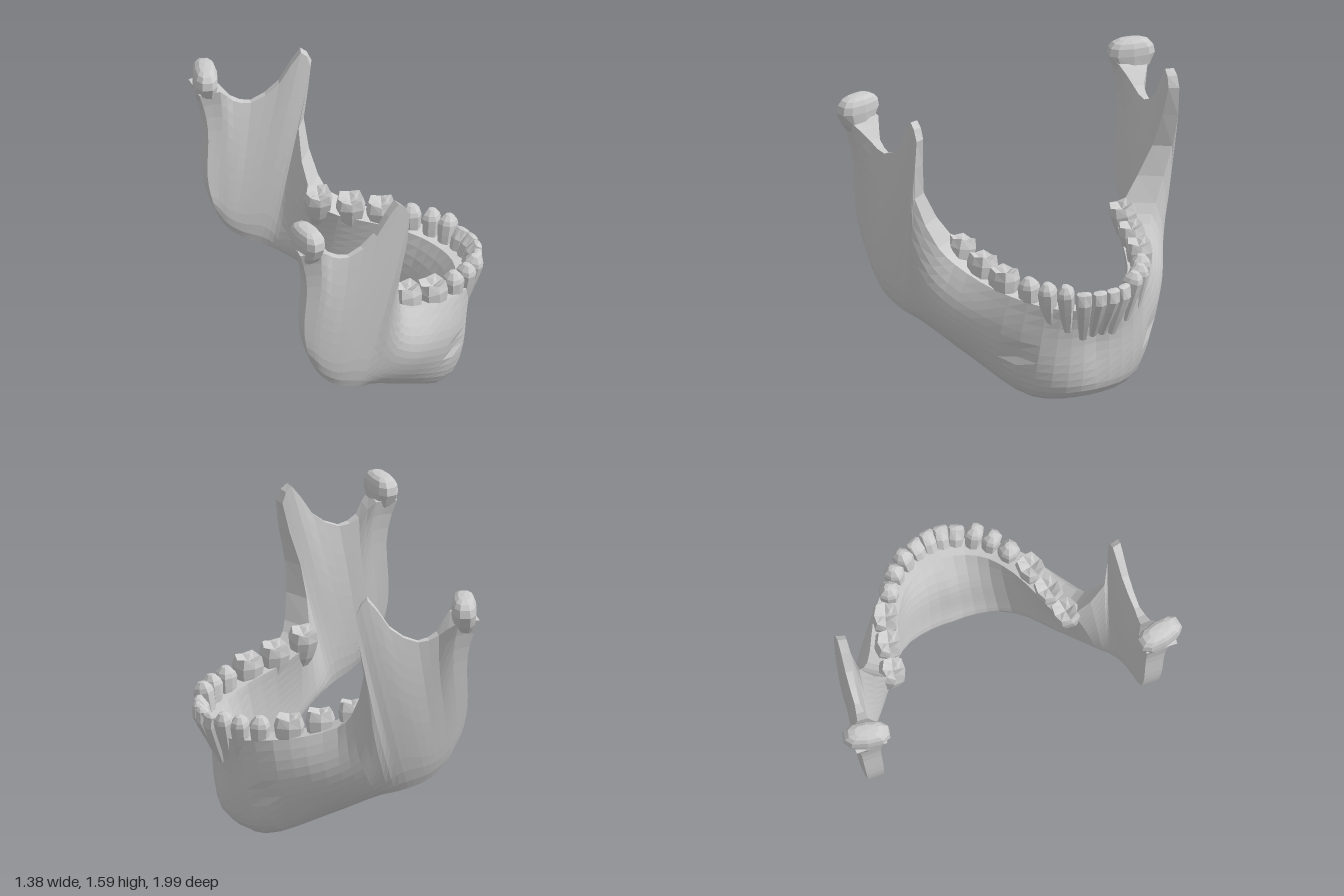
import * as THREE from 'three';

const bone = new THREE.MeshStandardMaterial({ color: 0xcccccc, flatShading: true, side: THREE.DoubleSide });
const ROWS = 12, STEPS = 56;
const { lerp, clamp } = THREE.MathUtils;

// Half of the lower border, from chin to rear corner: x, y, z
const border = [[.42, .015, 0], [.345, .03, .29], [.05, .21, .52], [-.18, .36, .68],
  [-.29, .41, .75], [-.42, .47, .785], [-.52, .56, .795], [-.575, .66, .795]];

// Half of the upper rim, over tooth sockets, front spur, notch and neck: x, y, z, half thickness
const rim = [[.58, .59, 0, .05], [.555, .59, .14, .05], [.48, .61, .27, .055], [.33, .65, .39, .065],
  [.16, .69, .47, .075], [-.01, .76, .54, .09], [-.065, .85, .61, .09], [-.085, 1.15, .765, .055],
  [-.015, 1.51, .8, .03], [-.075, 1.605, .805, .025], [-.2, 1.42, .81, .02], [-.36, 1.32, .82, .015],
  [-.47, 1.36, .83, .03], [-.56, 1.46, .85, .09], [-.68, 1.46, .85, .09]];

// Mirror half a line across z = 0 and smooth it
function archCurve(half) {
  const at = side => ([x, y, z]) => new THREE.Vector3(x, y, z * side);
  return new THREE.CatmullRomCurve3([...half.slice(1).reverse().map(at(-1)), ...half.map(at(1))]);
}

// Bone plate stretched between border and rim, swept from one rear edge to the other
function jawGeometry() {
  const low = archCurve(border), high = archCurve(rim), ring = 2 * (ROWS + 1);
  const pits = [1, -1].map(s => new THREE.Vector3(.38, .32, .4 * s));
  const pos = [], idx = [];
  for (let k = 0; k <= STEPS; k++) {
    const u = k / STEPS, station = Math.abs(k - STEPS / 2) / 2, i = Math.floor(station);
    const rimT = lerp(rim[i][3], rim[Math.min(i + 1, rim.length - 1)][3], station - i);
    // how much this station belongs to the chin, cheek ridge, rear plate and rear edge
    const chin = Math.max(0, 1 - station / 3), ridge = Math.exp(-(((station - 4.7) / 1.5) ** 2));
    const plate = clamp((station - 6) / 2, 0, 1), rear = Math.max(0, station - 11) / 3;
    const bottom = low.getPoint(u), top = high.getPoint(u);
    const ahead = low.getPoint(Math.min(1, u + .01)), behind = low.getPoint(Math.max(0, u - .01));
    const out = new THREE.Vector3(ahead.z - behind.z, 0, behind.x - ahead.x).normalize();
    const outer = [], inner = [];
    for (let r = 0; r <= ROWS; r++) {
      const v = (r / ROWS) ** 1.3, arc = Math.sin(Math.PI * v), wave = Math.sin(2 * Math.PI * v);
      const c = bottom.clone().lerp(top, v);
      // chin is hollow below the teeth, the sides bulge, the rear edge is hollow
      const bow = .025 * (1 - plate) + .025 * ridge - .06 * chin;
      c.addScaledVector(out, bow * arc + .02 * chin * wave);
      c.x -= .025 * rear * wave;
      const belly = .03 * (1 - chin) * (1 - .6 * plate) + .02 * ridge;
      const ease = v ** (2 - 1.2 * chin + 4 * rear);
      const rounding = lerp(.4, 1, Math.sqrt(Math.min(1, v / .12)));
      const t = (lerp(.04 + .07 * chin, rimT, ease) + belly * arc) * rounding;
      const o = c.clone().addScaledVector(out, t);
      // small nerve opening on each side of the chin
      for (const p of pits) o.addScaledVector(out, -.04 * Math.exp(-o.distanceToSquared(p) / .0025));
      outer.push(o);
      inner.unshift(c.addScaledVector(out, -t));
    }
    for (const p of [...outer, ...inner]) pos.push(p.x, p.y, p.z);
  }
  for (let k = 0; k < STEPS; k++) for (let j = 0; j < ring; j++) {
    const a = k * ring + j, b = k * ring + (j + 1) % ring;
    idx.push(a, b, a + ring, b, b + ring, a + ring);
  }
  // close both rear edges
  const e = STEPS * ring;
  for (let a = 0; a < ROWS; a++) {
    const b = a + 1, c = ring - 2 - a, d = ring - 1 - a;
    idx.push(a, c, b, a, d, c, e + a, e + b, e + c, e + a, e + c, e + d);
  }
  const g = new THREE.BufferGeometry();
  g.setAttribute('position', new THREE.Float32BufferAttribute(pos, 3));
  g.setIndex(idx);
  g.computeVertexNormals();
  return g;
}

// Crown tops as radius and height, with depth, full length and crown height
const kinds = {
  incisor: { top: [[.95, -.01], [0, 0]], depth: .1, len: .32, crown: .17 },
  pointed: { top: [[.85, -.035], [.4, -.005], [0, 0]], depth: .115, len: .3, crown: .15 },
  molar: { top: [[.85, -.01], [.4, -.025], [0, -.035]], depth: .15, len: .22, crown: .13 },
};

// Tooth with its top at the origin; local x faces outwards, z runs along the arch
function toothGeometry(kind, width) {
  const { top, depth, len, crown } = kinds[kind];
  const profile = [[.5, -len], [.8, -crown - .03], [.92, -crown * .8], [1, -crown * .4], ...top];
  const g = new THREE.LatheGeometry(profile.map(([r, y]) => new THREE.Vector2(r, y)), 8);
  const p = g.attributes.position;
  for (let i = 0; i < p.count; i++) {
    let x = p.getX(i), y = p.getY(i), z = p.getZ(i);
    const rad = Math.hypot(x, z);
    if (rad > 1e-4) {
      const square = Math.pow((x / rad) ** 4 + (z / rad) ** 4, -.15);
      x *= square;
      z *= square;
      if (kind === 'molar' && y > -.03 && square > 1.1) y += .015; // corner cusps
    }
    if (kind === 'incisor' && y > -.03) x *= .45; // biting edge
    p.setXYZ(i, x * depth / 2, y, z * width / 2);
  }
  g.computeVertexNormals();
  return g;
}

// name, kind, x, top y, z, width
const teeth = [
  ['centralIncisor', 'incisor', .67, .705, .042, .085],
  ['lateralIncisor', 'incisor', .64, .705, .128, .09],
  ['canine', 'pointed', .59, .75, .22, .1],
  ['firstPremolar', 'pointed', .515, .755, .295, .1],
  ['secondPremolar', 'pointed', .415, .765, .355, .115],
  ['firstMolar', 'molar', .265, .775, .425, .17],
  ['secondMolar', 'molar', .1, .81, .465, .165],
  ['thirdMolar', 'molar', -.075, .86, .5, .16],
];

// Rounded block carrying each hinge joint, narrowing down into the neck
function condyleGeometry() {
  const g = new THREE.SphereGeometry(1, 10, 8);
  const p = g.attributes.position;
  for (let i = 0; i < p.count; i++) {
    const [x, y, z] = [p.getX(i), p.getY(i), p.getZ(i)].map(a => Math.sign(a) * Math.abs(a) ** .75);
    const taper = 1 + .4 * Math.min(0, y);
    p.setXYZ(i, x * .07, y * (y < 0 ? .14 : .09), z * .135 * taper);
  }
  g.computeVertexNormals();
  return g;
}

export function createModel() {
  const model = new THREE.Group();
  model.name = 'lowerJaw';
  const add = (geometry, name, parent = model) => {
    const m = new THREE.Mesh(geometry, bone);
    m.name = name;
    parent.add(m);
    return m;
  };
  add(jawGeometry(), 'jawBone');

  const toothRow = new THREE.Group();
  toothRow.name = 'teeth';
  model.add(toothRow);
  for (const side of [1, -1]) {
    const label = side > 0 ? 'Near' : 'Far'; // +z and -z halves of the arch
    teeth.forEach(([name, kind, x, y, z, width], i) => {
      const tooth = add(toothGeometry(kind, width), name + label, toothRow);
      tooth.position.set(x, y, z * side);
      // turn outwards round the arch; front teeth lean out, molars lean in
      const yaw = 1.4 * Math.sin(Math.PI / 2 * (i + .4) / 7.4);
      tooth.rotation.set(0, -yaw * side, -lerp(.4, -.2, i / 7), 'YXZ');
    });
    const condyle = add(condyleGeometry(), 'condyle' + label);
    condyle.position.set(-.613, 1.5, .86 * side);
    condyle.rotation.y = .22 * side;
  }
  return model;
}
